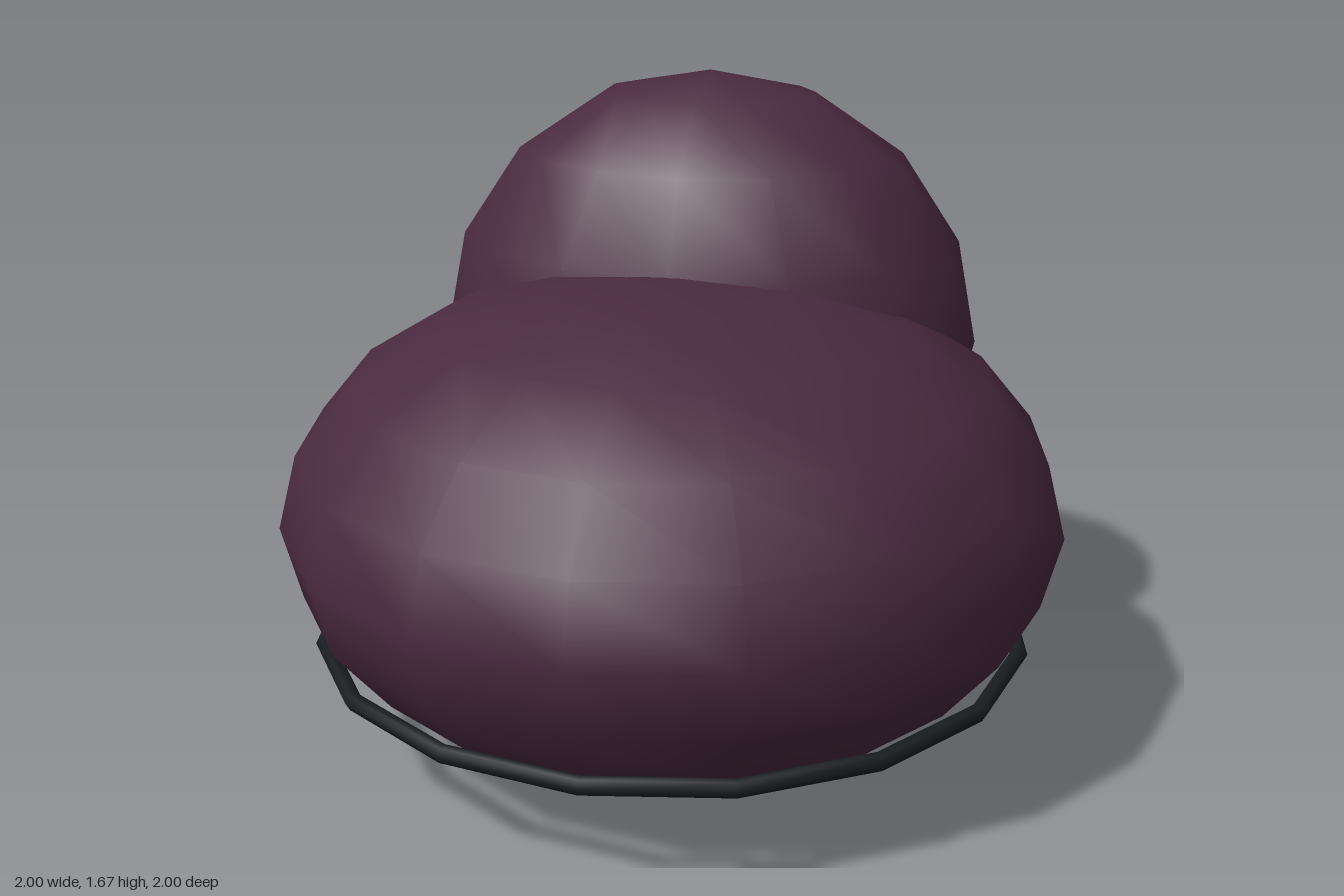
import * as THREE from 'three';

export function createModel() {
  const model = new THREE.Group();
  const plum = new THREE.MeshStandardMaterial({ color: 0x4a2a40 });
  const black = new THREE.MeshStandardMaterial({ color: 0x1a1d20 });

  // Smooth-shaded ellipsoid with a vertex meridian on the z axis
  const ellipsoid = (name, around, rings, radii, position) => {
    const geometry = new THREE.SphereGeometry(1, around, rings).rotateY(Math.PI / 2).scale(...radii);
    const mesh = new THREE.Mesh(geometry, plum);
    mesh.name = name;
    mesh.position.set(...position);
    model.add(mesh);
  };

  // Squashed seat cushion and the backrest sunk into its rear
  ellipsoid('seat', 16, 10, [1, 0.618, 1], [0, 0.621, 0]);
  ellipsoid('backrest', 14, 8, [0.727, 0.725, 0.508], [0, 0.95, -0.435]);

  // Thin piping ring around the lower seat
  const piping = new THREE.Mesh(new THREE.TorusGeometry(0.905, 0.0225, 6, 16).rotateX(Math.PI / 2), black);
  piping.name = 'pipingRing';
  piping.position.y = 0.297;
  model.add(piping);

  return model;
}
